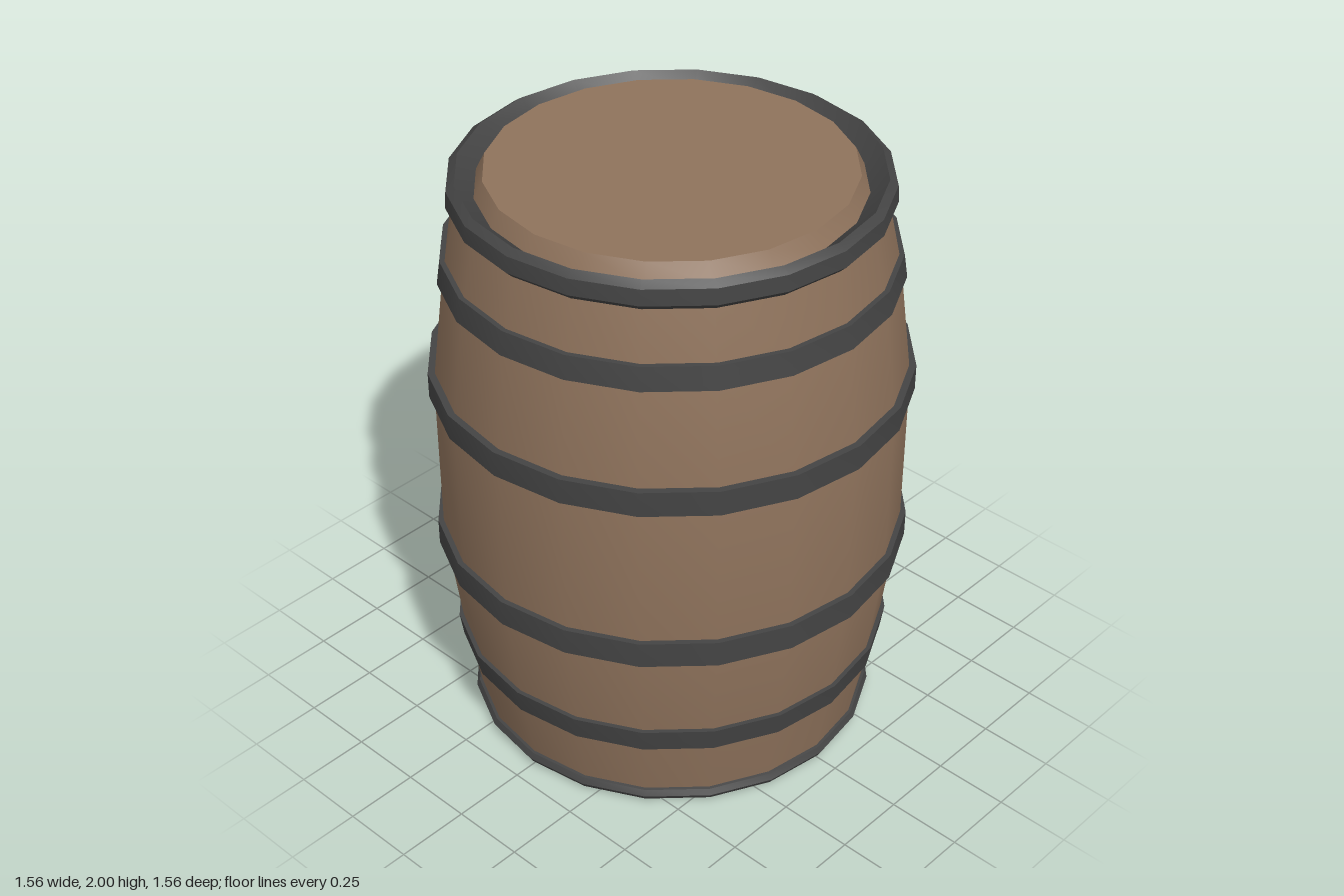
import * as THREE from 'three';
import { toCreasedNormals } from 'three/addons/utils/BufferGeometryUtils.js';

const SIDES = 20;
const wood = new THREE.MeshStandardMaterial({ color: 0x8f735c });
const iron = new THREE.MeshStandardMaterial({ color: 0x444444 });

// Turns a [radius, height] profile; outer surfaces run upward.
function turned(name, profile, material) {
  const points = profile.map(([r, y]) => new THREE.Vector2(r, y));
  const geometry = toCreasedNormals(new THREE.LatheGeometry(points, SIDES), 0.45);
  const mesh = new THREE.Mesh(geometry, material);
  mesh.name = name;
  return mesh;
}

// Closed band of rectangular section, following the slope of the staves.
function hoop(name, y0, r0, y1, r1) {
  const depth = 0.04;
  return turned(name, [
    [r0 - depth, y0], [r0, y0], [r1, y1], [r1 - depth, y1], [r0 - depth, y0],
  ], iron);
}

export function createModel() {
  const barrel = new THREE.Group();
  barrel.name = 'barrel';

  // Bulging staves
  barrel.add(turned('staves', [
    [0.662, 0.03], [0.71, 0.31], [0.76, 0.7], [0.76, 1.3], [0.71, 1.7], [0.662, 1.92],
  ], wood));

  // Heads with bevelled edges, set inside the rims
  barrel.add(turned('bottomHead', [[0, 0], [0.585, 0], [0.605, 0.05]], wood));
  barrel.add(turned('topHead', [[0.605, 1.94], [0.575, 2], [0, 2]], wood));

  // End rims, sloping inward to the heads
  barrel.add(turned('bottomRim', [
    [0.603, 0.045], [0.655, 0.008], [0.675, 0.012], [0.685, 0.03], [0.675, 0.05], [0.655, 0.054],
  ], iron));
  barrel.add(turned('topRim', [
    [0.65, 1.895], [0.668, 1.9], [0.69, 1.922], [0.686, 1.975], [0.66, 1.993], [0.603, 1.945],
  ], iron));

  // Hoops
  barrel.add(hoop('lowerHoop', 0.27, 0.718, 0.352, 0.73));
  barrel.add(hoop('lowerMiddleHoop', 0.67, 0.778, 0.76, 0.778));
  barrel.add(hoop('upperMiddleHoop', 1.25, 0.778, 1.337, 0.778));
  barrel.add(hoop('upperHoop', 1.66, 0.73, 1.738, 0.718));

  return barrel;
}
